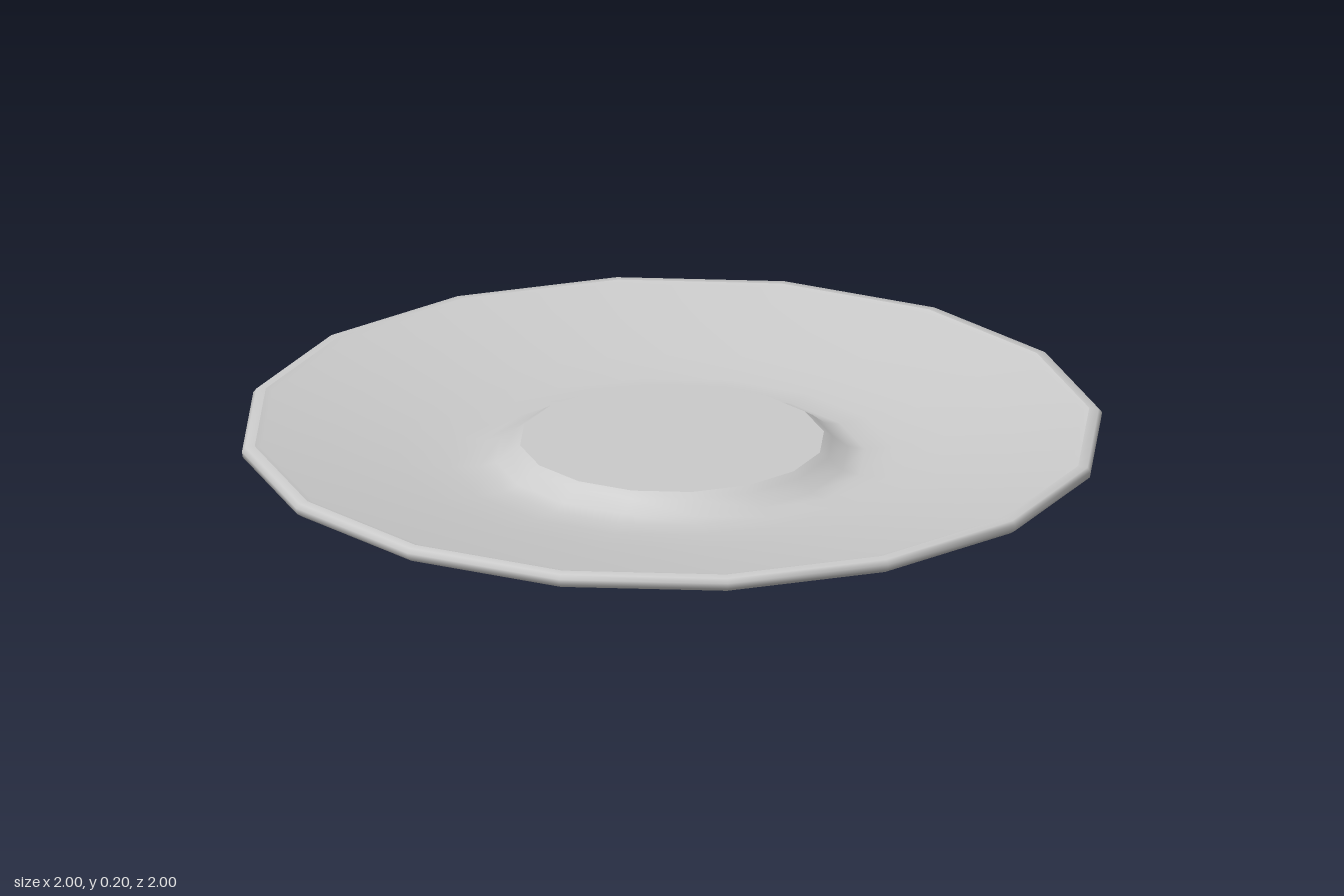
import * as THREE from 'three';

const SIDES = 16;
const TURN = THREE.MathUtils.degToRad(-5.8); // rotation of the polygonal outline

export function createModel() {
  const saucer = new THREE.Group();
  saucer.name = 'saucer';
  const material = new THREE.MeshStandardMaterial({ color: 0xcccccc });

  // Each band is smooth in itself; bands meet in sharp edges. Profiles run [radius, height].
  const addBand = (name, profile) => {
    const points = profile.map(([r, y]) => new THREE.Vector2(r, y));
    const mesh = new THREE.Mesh(new THREE.LatheGeometry(points, SIDES, TURN), material);
    mesh.name = name;
    saucer.add(mesh);
  };

  // Flat foot and the curved underside
  addBand('foot', [[0, 0], [0.37, 0]]);
  addBand('underside', [[0.37, 0], [0.43, 0.01], [0.52, 0.03], [0.64, 0.06], [0.8, 0.108], [0.99, 0.165]]);

  // Rounded lip around the edge
  addBand('rim', [[0.99, 0.165], [1.003, 0.174], [1.005, 0.188], [0.997, 0.198], [0.975, 0.2]]);

  // Shallow dished top, rising again to the central platform
  addBand('dish', [
    [0.975, 0.2], [0.96, 0.196], [0.8, 0.167], [0.64, 0.141], [0.52, 0.126],
    [0.45, 0.124], [0.41, 0.133], [0.375, 0.16], [0.355, 0.172],
  ]);
  addBand('platform', [[0.355, 0.172], [0, 0.172]]);

  return saucer;
}
